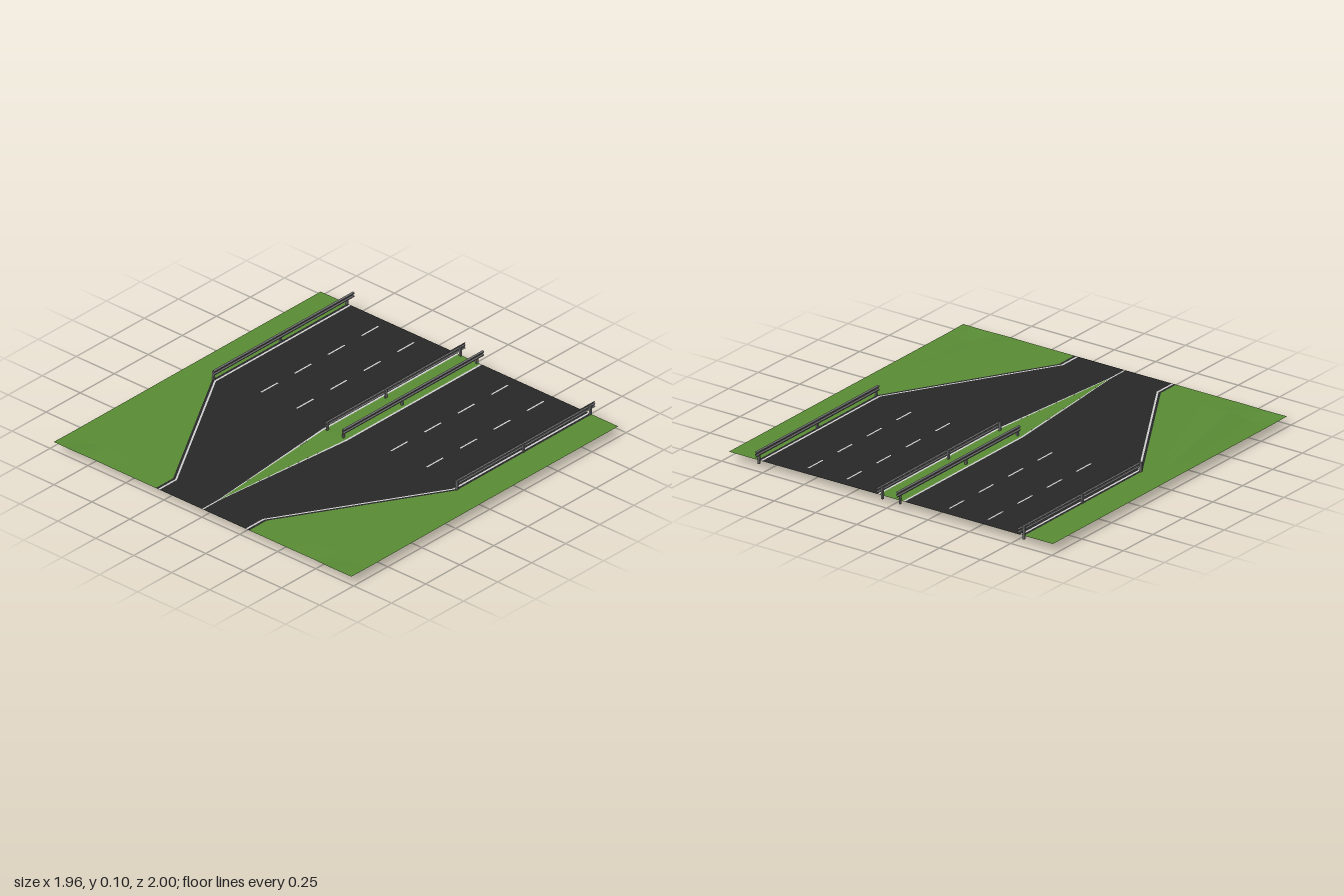
import * as THREE from 'three';

const Y = 0.043; // road level
const BACK = -0.965, FRONT = 0.995, KINK = 0.027, NECK = 0.868;

const mat = (color) => new THREE.MeshStandardMaterial({ color, side: THREE.DoubleSide, flatShading: true });

function add(group, name, geometry, material) {
  const mesh = new THREE.Mesh(geometry, material);
  mesh.name = name;
  group.add(mesh);
  return mesh;
}

// Flat sheet from [x, z] corners, mirrored by s, with optional holes
function sheet(points, s = 1, holes = []) {
  const toPlane = (list) => list.map(([x, z]) => new THREE.Vector2(x * s, -z));
  const shape = new THREE.Shape(toPlane(points));
  for (const h of holes) shape.holes.push(new THREE.Path(toPlane(h)));
  return new THREE.ShapeGeometry(shape).rotateX(-Math.PI / 2).translate(0, Y, 0);
}

// Surface lofted through rows of [x, y, z] points with equal counts
function loft(rows) {
  const n = rows[0].length, index = [];
  for (let r = 0; r < rows.length - 1; r++) {
    for (let c = 0; c < n - 1; c++) {
      const a = r * n + c, b = a + n;
      index.push(a, b, a + 1, a + 1, b, b + 1);
    }
  }
  const g = new THREE.BufferGeometry();
  g.setAttribute('position', new THREE.Float32BufferAttribute(rows.flat(2), 3));
  g.setIndex(index);
  g.computeVertexNormals();
  return g;
}

// Outer road edge at a given inset from the verge
const outer = (d) => [[0.805 - d, BACK], [0.805 - d, KINK], [0.308 - d, NECK], [0.308 - d, FRONT]];
// Edge of the median marking
const inner = (wide, tip) => [[wide, BACK], [wide, KINK], [tip, NECK], [tip, FRONT]];
const between = (a, b) => [...a, ...[...b].reverse()];

export function createModel() {
  const model = new THREE.Group();
  model.name = 'dividedRoad';
  const grass = mat(0x588b34), asphalt = mat(0x272727), paint = mat(0xcccccc), steel = mat(0x777777);

  // Lane dashes, cut through the asphalt so they show on both faces
  const dashes = [];
  for (const x of [0.31, 0.545]) {
    for (let i = 0; i < 4; i++) {
      const z = -0.903 + i * 0.246, w = 0.0045;
      dashes.push([[x - w, z], [x + w, z], [x + w, z + 0.122], [x - w, z + 0.122]]);
    }
  }

  // Guard rail section: corrugated beam facing +x, extruded along z
  const front = [[0.002, 0.068], [0.008, 0.073], [0.008, 0.078], [0.002, 0.083], [0.002, 0.086],
    [0.008, 0.09], [0.008, 0.096], [0.002, 0.1]];
  const back = front.map(([x, y]) => [x - 0.003, y]).reverse();
  const beamShape = new THREE.Shape([...front, ...back].map(([x, y]) => new THREE.Vector2(x, y)));
  const beamGeo = new THREE.ExtrudeGeometry(beamShape, { depth: 1.03, bevelEnabled: false }).translate(0, 0, -1);

  function guardRail(name, x, facing, midZ) {
    const rail = new THREE.Group();
    rail.name = name;
    const beam = add(rail, 'beam', beamGeo, steel);
    if (facing < 0) beam.rotation.y = Math.PI, beam.position.z = -0.97;
    for (const [z, bottom] of [[0.02, 0], [midZ, 0], [-0.96, 0.022]]) {
      const post = add(rail, 'post', new THREE.BoxGeometry(0.009, 0.092 - bottom, 0.012), steel);
      post.position.set(-0.004 * facing, (0.092 + bottom) / 2, z);
    }
    rail.position.x = x;
    model.add(rail);
  }

  for (const s of [1, -1]) {
    const side = s > 0 ? 'left' : 'right';

    // Carriageway, shoulder and edge markings
    add(model, side + 'Carriageway', sheet(between(outer(0.025), inner(0.083, 0.004)), s, dashes), asphalt);
    add(model, side + 'Shoulder', sheet(between(outer(0), outer(0.014)), s), asphalt);
    add(model, side + 'EdgeLine', sheet(between(outer(0.014), outer(0.025)), s), paint);
    add(model, side + 'MedianLine', sheet(between(inner(0.083, 0.004), inner(0.072, 0)), s), paint);
    for (const d of dashes) add(model, side + 'LaneDash', sheet(d, s), paint);

    // Verge: folds fan out from the rail end and fade at the front edge
    const folds = [[0, 0], [0.2, -0.001], [0.37, -0.002], [0.5, 0.004], [0.62, 0.008],
      [0.7, 0], [0.8, -0.014], [0.9, -0.009], [1, -0.002]];
    const stations = [[...outer(0)[0], 0], [...outer(0)[1], 0], [...outer(0)[2], 1], [...outer(0)[3], 0.1]];
    const rows = stations.map(([x, z, amp]) => {
      const row = folds.map(([u, h]) => [s * (x + (0.98 - x) * u), Y + h * amp, z]);
      return s > 0 ? row : row.reverse();
    });
    add(model, side + 'Verge', loft(rows), grass);

    // Guard rails, beams turned towards the traffic
    guardRail(side + 'OuterRail', s * 0.797, -s, -0.47);
    guardRail(side + 'MedianRail', s * 0.057, s, -0.41);
  }

  // Median: gently crowned strip narrowing to a point
  const crown = [[-1, 0], [-0.55, 0.007], [0, 0.009], [0.55, 0.007], [1, 0]];
  const medianRows = [[BACK, 0.072, 0], [-0.06, 0.072, 0.3], [KINK, 0.072, 1], [0.2, 0.057, 0.5], [NECK, 0, 0]]
    .map(([z, w, amp]) => crown.map(([u, h]) => [u * w, Y + h * amp, z]));
  add(model, 'median', loft(medianRows), grass);

  return model;
}
